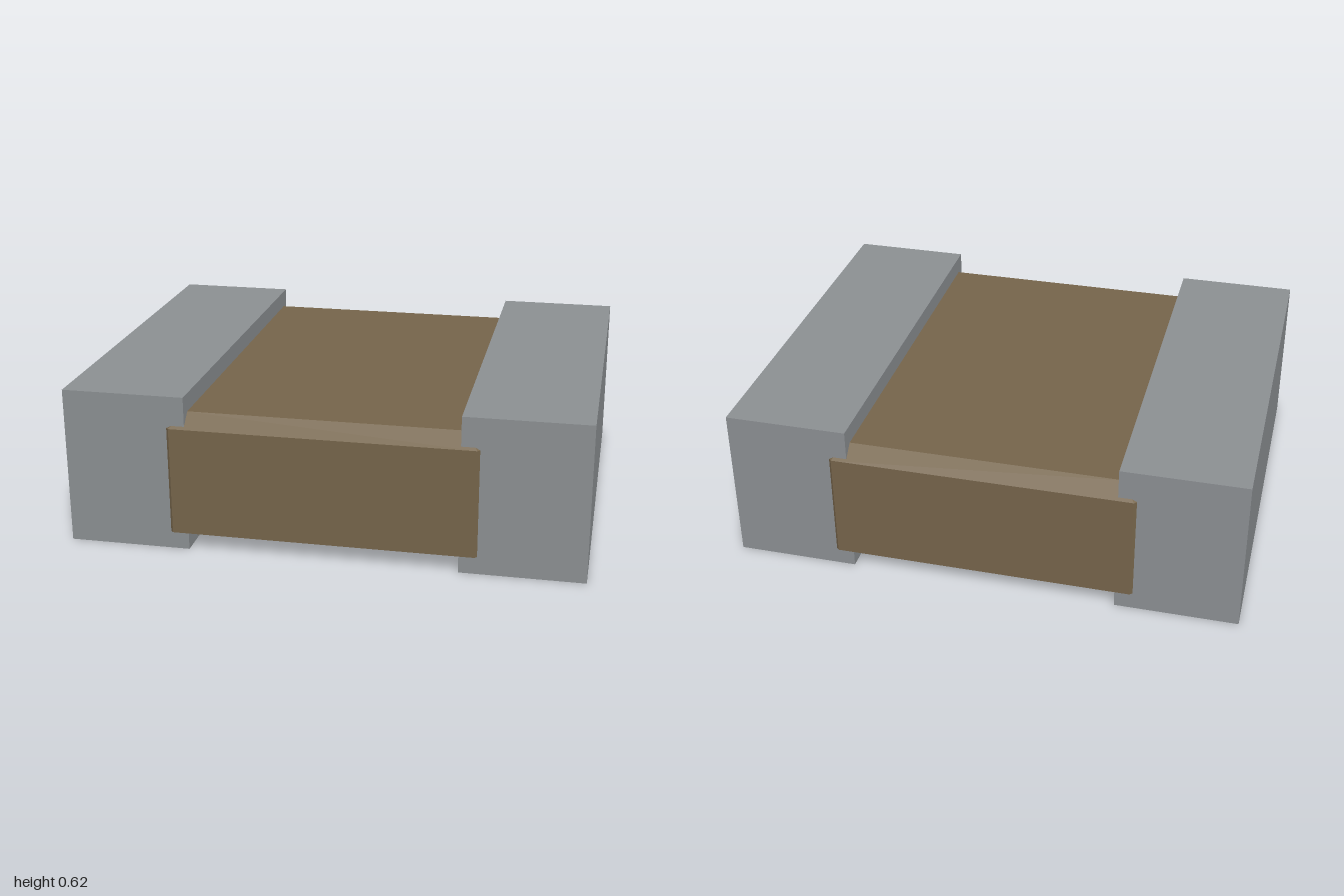
import * as THREE from 'three';
import { ConvexGeometry } from 'three/addons/geometries/ConvexGeometry.js';

export function createModel() {
  const group = new THREE.Group();
  const ceramic = new THREE.MeshStandardMaterial({ color: 0x75644a });
  ceramic.name = 'brown ceramic';
  const metal = new THREE.MeshStandardMaterial({ color: 0x8b8f92 });
  metal.name = 'grey metal';

  // Rectangle with cut corners at height y
  const ring = (y, hx, hz, cut) => {
    const points = [];
    for (const sx of [-1, 1]) for (const sz of [-1, 1]) {
      points.push(new THREE.Vector3(sx * hx, y, sz * (hz - cut)));
      points.push(new THREE.Vector3(sx * (hx - cut), y, sz * hz));
    }
    return points;
  };

  // Ceramic block, bevelled around its top edge and upright corners
  const body = new THREE.Mesh(new ConvexGeometry([
    ...ring(0.07, 0.6, 0.8, 0.017),
    ...ring(0.495, 0.6, 0.8, 0.017),
    ...ring(0.55, 0.543, 0.743, 0.005),
  ]), ceramic);
  body.name = 'body';
  group.add(body);

  // Metal terminals at both ends
  for (const side of [-1, 1]) {
    const terminal = new THREE.Mesh(new THREE.BoxGeometry(0.477, 0.62, 1.58), metal);
    terminal.position.set(side * 0.7615, 0.31, 0);
    terminal.name = side > 0 ? 'leftTerminal' : 'rightTerminal';
    group.add(terminal);
  }
  return group;
}
